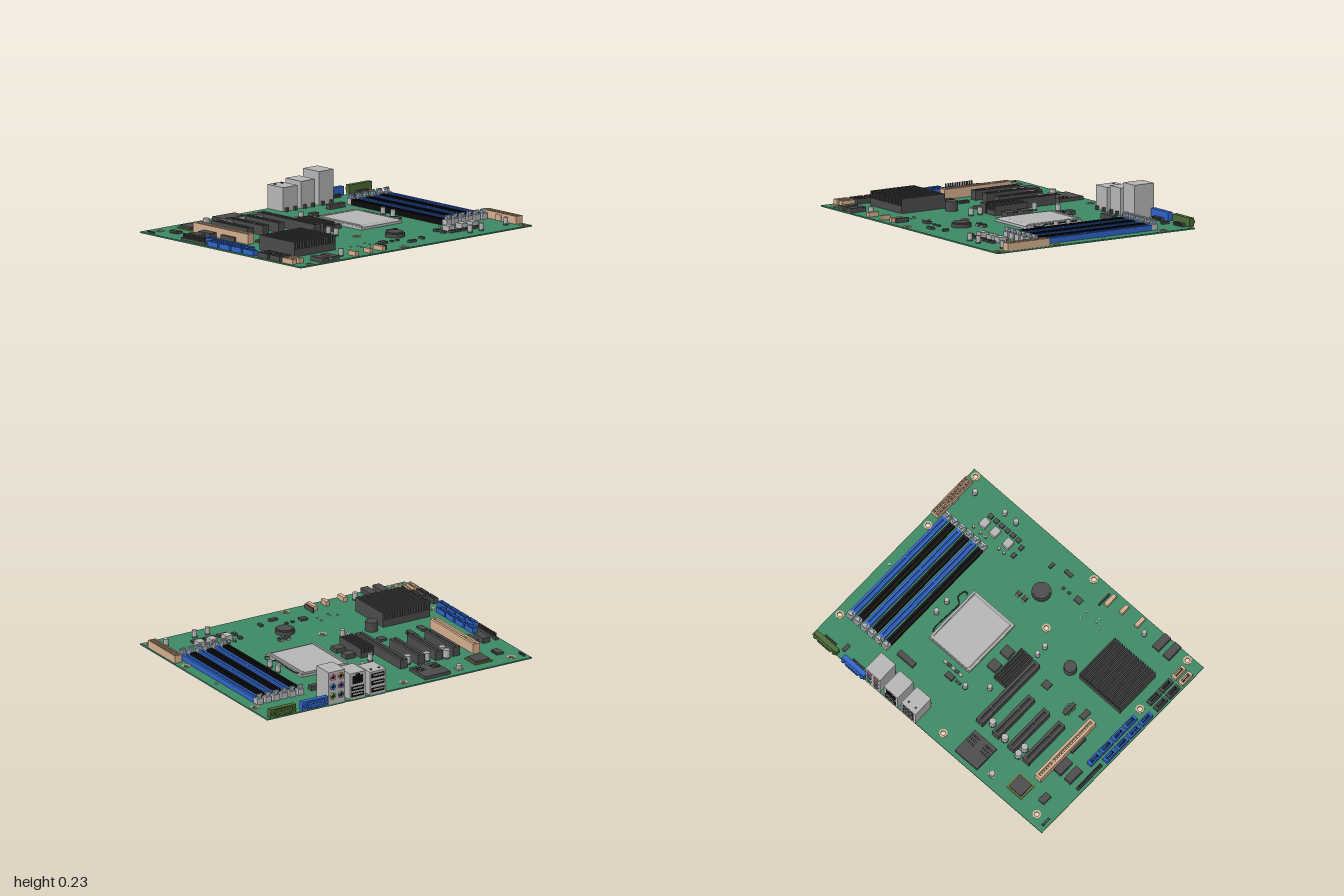
import * as THREE from 'three';

const TOP = 0.012; // board surface height
const mats = {};
const mat = (c) => (mats[c] ??= new THREE.MeshStandardMaterial({ color: c }));
const GREEN = 0x3c8764, DARK = 0x4a4a4a, BLACK = 0x0c0c0c, BLUE = 0x2f63c8,
  TAN = 0xd2ad8c, SILVER = 0xb4b4b4, OLIVE = 0x4a6a34, PALE = 0x8fa6c4;

export function createModel() {
  const model = new THREE.Group();

  const add = (name, geo, color, x = 0, y = 0, z = 0, parent = model) => {
    const m = new THREE.Mesh(geo, mat(color));
    m.name = name;
    m.position.set(x, y, z);
    parent.add(m);
    return m;
  };
  const group = (name, x = 0, z = 0) => {
    const g = new THREE.Group();
    g.name = name;
    g.position.set(x, 0, z);
    model.add(g);
    return g;
  };
  // box given by its centre in plan, its size and its base height
  const box = (name, color, x, z, w, d, h, y = TOP, parent = model) =>
    add(name, new THREE.BoxGeometry(w, h, d), color, x, y + h / 2, z, parent);
  const can = (name, color, x, z, r, h, y = TOP, parent = model) =>
    add(name, new THREE.CylinderGeometry(r, r, h, 20), color, x, y + h / 2, z, parent);

  // board with mounting holes
  const holes = [[-0.89, -0.685], [-0.075, -0.685], [0.96, -0.54], [-0.89, 0.29], [-0.075, 0.29],
    [0.957, 0.29], [-0.89, 0.74], [-0.075, 0.74], [0.957, 0.74]];
  const outline = new THREE.Shape([[-1, -0.775], [1, -0.775], [1, 0.757], [-1, 0.757]].map((p) => new THREE.Vector2(...p)));
  for (const [x, z] of holes) outline.holes.push(new THREE.Path().absarc(x, -z, 0.015, 0, Math.PI * 2, true));
  const boardGeo = new THREE.ExtrudeGeometry(outline, { depth: TOP - 0.003, bevelEnabled: false, curveSegments: 16 });
  add('board', boardGeo.rotateX(-Math.PI / 2), GREEN, 0, 0.003, 0);
  for (const [x, z] of holes) {
    const ring = new THREE.Shape().absarc(0, 0, 0.028, 0, Math.PI * 2);
    ring.holes.push(new THREE.Path().absarc(0, 0, 0.015, 0, Math.PI * 2, true));
    add('mountingRing', new THREE.ExtrudeGeometry(ring, { depth: 0.003, bevelEnabled: false }).rotateX(-Math.PI / 2), TAN, x, TOP, z);
  }

  // socket: floor, two long walls, end caps and an optional key in the channel
  const slot = (name, color, x, z, w, d, h, gap, key = null) => {
    const g = group(name, x, z), wall = (w - gap) / 2;
    box('floor', color, 0, 0, w, d, h * 0.5, TOP, g);
    for (const s of [-1, 1]) {
      box('wall', color, s * (w - wall) / 2, 0, wall, d, h, TOP, g);
      box('end', color, 0, s * (d / 2 - 0.008), gap, 0.016, h, TOP, g);
    }
    if (key !== null) box('key', color, 0, key, gap, 0.014, h, TOP, g);
    return g;
  };

  // expansion slots
  for (const x of [-0.604, -0.474, -0.34]) slot('expansionSlot', DARK, x, -0.308, 0.055, 0.344, 0.063, 0.016, 0.06);
  slot('longExpansionSlot', DARK, -0.205, -0.212, 0.055, 0.545, 0.063, 0.016, -0.15);
  const tanSlot = slot('tanExpansionSlot', TAN, -0.738, -0.249, 0.052, 0.523, 0.066, 0.018, -0.12);
  for (let i = 0; i < 24; i++) box('contact', DARK, 0, -0.235 + i * 0.0204, 0.016, 0.006, 0.035, TOP, tanSlot);

  // memory sockets with end latches
  for (let i = 0; i < 6; i++) {
    const x = 0.594 + i * 0.0614;
    const g = slot('memorySocket', i % 2 ? BLUE : BLACK, x, -0.042, 0.044, 0.87, 0.036, 0.012, 0.07);
    for (const s of [-1, 1]) {
      box('latchBase', SILVER, 0, s * 0.456, 0.044, 0.042, 0.04, TOP, g);
      box('latch', PALE, 0, s * 0.456, 0.022, 0.026, 0.062, TOP, g);
      box('latchTip', SILVER, 0, s * 0.464, 0.038, 0.014, 0.012, 0.068, g);
    }
  }

  // processor socket with stepped lid, lever and back plate
  const cpu = group('processorSocket', 0.256, -0.054);
  box('frame', SILVER, 0, 0, 0.353, 0.433, 0.016, TOP, cpu);
  const lid = new THREE.CylinderGeometry(0.92, 1, 0.01, 4, 1).rotateY(Math.PI / 4).scale(0.335 / Math.SQRT2, 1, 0.41 / Math.SQRT2).toNonIndexed();
  lid.computeVertexNormals();
  add('lid', lid, SILVER, 0, 0.033, 0, cpu);
  for (const s of [-1, 1]) box('rail', SILVER, s * 0.168, 0, 0.014, 0.42, 0.024, TOP, cpu);
  box('hinge', SILVER, 0, -0.2, 0.3, 0.022, 0.028, TOP, cpu);
  const lever = new THREE.CatmullRomCurve3([[0.15, 0.03, -0.18], [0.185, 0.03, -0.165], [0.187, 0.03, 0], [0.187, 0.03, 0.08],
    [0.222, 0.03, 0.11], [0.224, 0.03, 0.15], [0.205, 0.03, 0.175], [0.187, 0.03, 0.155]].map((p) => new THREE.Vector3(...p)));
  add('lever', new THREE.TubeGeometry(lever, 40, 0.004, 6), DARK, 0, 0, 0, cpu);
  box('backPlate', DARK, 0.256, -0.054, 0.353, 0.433, 0.004, 0);

  // finned heat sinks
  const heatSink = (x, z, w, d, h, n) => {
    const g = group('heatSink', x, z);
    box('base', DARK, 0, 0, w, d, h * 0.5, TOP, g);
    for (let i = 0; i < n; i++) box('fin', DARK, (w - 0.009) * (i / (n - 1) - 0.5), 0, 0.009, d, h, TOP, g);
  };
  heatSink(-0.641, 0.348, 0.353, 0.335, 0.096, 18);
  heatSink(-0.112, -0.062, 0.096, 0.257, 0.063, 6);

  // drive connectors with an L-shaped tongue in an open shell
  const drive = (color, x, z) => {
    const g = slot('driveConnector', color, x, z, 0.038, 0.098, 0.034, 0.022);
    box('tongue', BLACK, 0, 0, 0.006, 0.065, 0.026, TOP, g);
    box('tongueFoot', BLACK, 0.005, 0.03, 0.008, 0.006, 0.026, TOP, g);
  };
  for (let i = 0; i < 4; i++) {
    drive(BLUE, -0.97, -0.08 + i * 0.113);
    drive(BLUE, -0.911, -0.165 + i * 0.113);
  }
  for (const x of [-0.97, -0.911]) {
    drive(DARK, x, 0.4);
    drive(DARK, x, 0.515);
    drive(TAN, x, 0.635);
  }

  // main power connector with pin wells
  const power = group('powerConnector', 0.967, 0.528);
  box('body', TAN, 0, 0, 0.055, 0.325, 0.04, TOP, power);
  for (const s of [-1, 0, 1]) box('rib', TAN, s * 0.0245, 0, 0.006, 0.325, 0.052, TOP, power);
  for (let i = 0; i <= 12; i++) box('divider', TAN, 0, (i / 12 - 0.5) * 0.319, 0.055, 0.006, 0.052, TOP, power);
  for (let i = 0; i < 12; i++) for (const s of [-1, 1]) box('pin', DARK, s * 0.012, ((i + 0.5) / 12 - 0.5) * 0.319, 0.008, 0.008, 0.008, 0.052, power);
  box('clip', TAN, -0.03, 0, 0.008, 0.05, 0.04, TOP, power);

  // rear port towers, open toward the back
  const port = (name, x, w, h) => {
    const g = group(name, x, 0);
    box('shell', SILVER, 0, -0.682, w, 0.15, h, TOP, g);
    box('solderPlate', DARK, 0, -0.682, w, 0.15, 0.002, 0.001, g);
    for (const s of [-1, 1]) box('foot', DARK, s * w * 0.3, -0.598, 0.018, 0.018, 0.025, TOP, g);
    return g;
  };
  const usb = (g, y, w) => {
    box('opening', BLACK, 0, -0.757, w, 0.004, 0.03, y, g);
    box('tongue', SILVER, 0, -0.759, w * 0.8, 0.004, 0.009, y + 0.014, g);
  };
  const dual = port('stackedPorts', 0.163, 0.123, 0.158);
  for (const y of [0.028, 0.077, 0.126]) usb(dual, y, 0.095);
  for (const s of [-1, 1]) box('topSpring', DARK, s * 0.03, -0.72, 0.012, 0.012, 0.006, 0.17, dual);
  const net = port('networkPort', 0.316, 0.118, 0.178);
  for (const y of [0.026, 0.068]) usb(net, y, 0.092);
  box('opening', BLACK, 0, -0.757, 0.08, 0.004, 0.055, 0.115, net);
  box('openingNotch', BLACK, 0, -0.757, 0.035, 0.004, 0.012, 0.17, net);
  const audio = port('audioPorts', 0.473, 0.125, 0.221);
  [0xd0709a, 0x4a7ad0, 0x78a848, 0xc88a40, 0x8a6ab0, 0x707070].forEach((c, i) => {
    const x = i < 3 ? 0.03 : -0.03, y = 0.195 - (i % 3) * 0.065;
    add('jack', new THREE.TorusGeometry(0.016, 0.006, 8, 20), c, x, y, -0.758, audio);
    add('jackHole', new THREE.CylinderGeometry(0.013, 0.013, 0.004, 16).rotateX(Math.PI / 2), BLACK, x, y, -0.757, audio);
  });

  // D-shaped rear connectors
  const dShape = (w, h) => new THREE.Shape([[-w / 2, h / 2], [-w / 2 + 0.012, -h / 2], [w / 2 - 0.012, -h / 2], [w / 2, h / 2]].map((p) => new THREE.Vector2(...p)));
  for (const [color, x] of [[BLUE, 0.641], [OLIVE, 0.883]]) {
    const g = group('rearSerialConnector', x, 0);
    box('flange', color, 0, -0.747, 0.193, 0.034, 0.058, 0.016, g);
    add('shell', new THREE.ExtrudeGeometry(dShape(0.13, 0.044), { depth: 0.03, bevelEnabled: false }), color, 0, 0.045, -0.776, g);
    for (const s of [-1, 1]) add('post', new THREE.CylinderGeometry(0.012, 0.012, 0.026, 6).rotateX(Math.PI / 2), color, s * 0.08, 0.045, -0.764, g);
    for (let r = 0; r < 2; r++) for (let i = 0; i < 5; i++)
      add('pinHole', new THREE.CylinderGeometry(0.004, 0.004, 0.002, 8).rotateX(Math.PI / 2), BLACK, (i - 2) * 0.02, 0.037 + r * 0.016, -0.776, g);
    for (let i = 0; i < 6; i++) box('lead', DARK, (i - 2.5) * 0.017, -0.718, 0.01, 0.03, 0.02, TOP, g);
  }

  // chips and small dark parts: x, z, width, depth, height
  const chips = [[-0.856, -0.573, 0.043, 0.073, 0.015], [-0.887, -0.336, 0.053, 0.113, 0.035], [-0.8, -0.336, 0.058, 0.113, 0.035],
    [-0.773, -0.165, 0.014, 0.13, 0.03], [-0.66, 0.022, 0.04, 0.07, 0.015], [-0.558, -0.018, 0.027, 0.097, 0.015],
    [-0.342, 0.005, 0.054, 0.05, 0.015], [-0.008, -0.128, 0.07, 0.069, 0.03], [-0.008, -0.005, 0.07, 0.069, 0.03],
    [0.436, -0.476, 0.134, 0.038, 0.03], [0.152, -0.374, 0.059, 0.037, 0.025], [-0.78, 0.714, 0.053, 0.118, 0.03],
    [-0.69, 0.714, 0.054, 0.118, 0.03], [-0.1, 0.567, 0.05, 0.04, 0.015], [0.07, 0.658, 0.06, 0.025, 0.015],
    [0.187, 0.623, 0.02, 0.04, 0.015], [-0.219, 0.68, 0.01, 0.1, 0.03], [0.775, -0.68, 0.025, 0.055, 0.015]];
  for (const [x, z, w, d, h] of chips) box('chip', DARK, x, z, w, d, h);
  for (const [x, z] of [[-0.856, -0.573], [-0.558, -0.018]]) // leaded chips
    for (let i = 0; i < 5; i++) box('chipLead', DARK, x, z + (i - 2) * 0.015, 0.055, 0.006, 0.006);
  box('framedChipBase', 0x66703c, -0.685, -0.617, 0.13, 0.127, 0.008);
  box('framedChip', DARK, -0.685, -0.617, 0.104, 0.104, 0.02);
  box('cardReader', DARK, -0.31, -0.631, 0.192, 0.188, 0.022);
  for (const s of [-1, 1]) for (let i = 0; i < 5; i++) for (let r = 0; r < 3; r++)
    box('cardReaderVent', BLACK, -0.31 + s * (0.03 + i * 0.013), -0.62 + r * 0.025, 0.006, 0.016, 0.001, 0.034);

  // pin header
  box('headerBase', DARK, -0.968, -0.273, 0.022, 0.23, 0.016);
  for (let i = 0; i < 12; i++) box('headerPin', DARK, -0.968, -0.373 + i * 0.0182, 0.008, 0.008, 0.045);

  // front headers
  for (const [x, z, d] of [[-0.494, 0.72, 0.075], [-0.361, 0.715, 0.064], [-0.254, 0.702, 0.09]]) box('fanHeader', TAN, x, z, 0.027, d, 0.03);

  // tall can, speaker and coin cell
  can('buzzer', DARK, -0.38, 0.185, 0.042, 0.063);
  can('coinCellHolder', DARK, 0.112, 0.447, 0.064, 0.024);
  can('coinCell', DARK, 0.112, 0.447, 0.054, 0.032);

  // capacitors
  const capacitor = (x, z, r, h) => {
    can('capacitorFoot', DARK, x, z, r, 0.01);
    can('capacitor', SILVER, x, z, r * 0.94, h);
  };
  for (const [x, z] of [[-0.535, -0.473], [-0.535, -0.414], [-0.396, -0.45], [-0.267, -0.425]]) capacitor(x, z, 0.024, 0.058);
  for (const [x, z] of [[0.032, -0.36], [-0.09, -0.26], [-0.16, 0.115], [-0.16, 0.185], [0.513, -0.11], [0.513, -0.013],
    [-0.567, 0.682], [0.55, 0.682], [0.647, 0.682], [0.882, 0.655]]) capacitor(x, z, 0.017, 0.05);
  for (const x of [0.47, 0.513, 0.63, 0.674, 0.733]) capacitor(x, 0.48, 0.01, 0.02);
  box('squareCapacitorFoot', SILVER, -0.497, -0.68, 0.045, 0.045, 0.008);
  can('squareCapacitor', SILVER, -0.497, -0.68, 0.02, 0.03);
  can('statusLight', SILVER, 0.957, -0.075, 0.008, 0.008);

  // power stage: coils and transistors
  for (const x of [0.49, 0.604, 0.695]) box('coil', SILVER, x, 0.542, 0.05, 0.06, 0.035);
  for (let i = 0; i < 6; i++) box('transistor', DARK, 0.46 + i * 0.048, 0.607, 0.032, 0.03, 0.015);
  for (const z of [0.51, 0.58]) box('transistor', DARK, 0.412, z, 0.026, 0.034, 0.015);
  for (const x of [0.16, 0.21]) {
    box('filter', DARK, x, 0.34, 0.03, 0.03, 0.02);
    box('filterEnds', SILVER, x, 0.34, 0.024, 0.044, 0.012);
  }

  // tiny surface parts
  for (const x of [-0.02, 0.027]) box('resistor', DARK, x, 0.564, 0.02, 0.018, 0.01);
  for (let i = 0; i < 5; i++) box('resistor', i % 2 ? DARK : SILVER, 0.11 + i * 0.033, -0.318, 0.024, 0.02, 0.012);
  for (const x of [0.075, 0.1]) box('resistor', DARK, x, -0.367, 0.016, 0.016, 0.012);
  for (const [x, z] of [[-0.33, 0.515], [-0.285, 0.535], [-0.285, 0.565], [-0.19, 0.49], [-0.19, 0.54]]) box('resistor', SILVER, x, z, 0.008, 0.012, 0.006);
  for (let i = 0; i < 3; i++) box('resistor', DARK, -0.97, -0.71 + i * 0.025, 0.014, 0.014, 0.01);

  return model;
}
